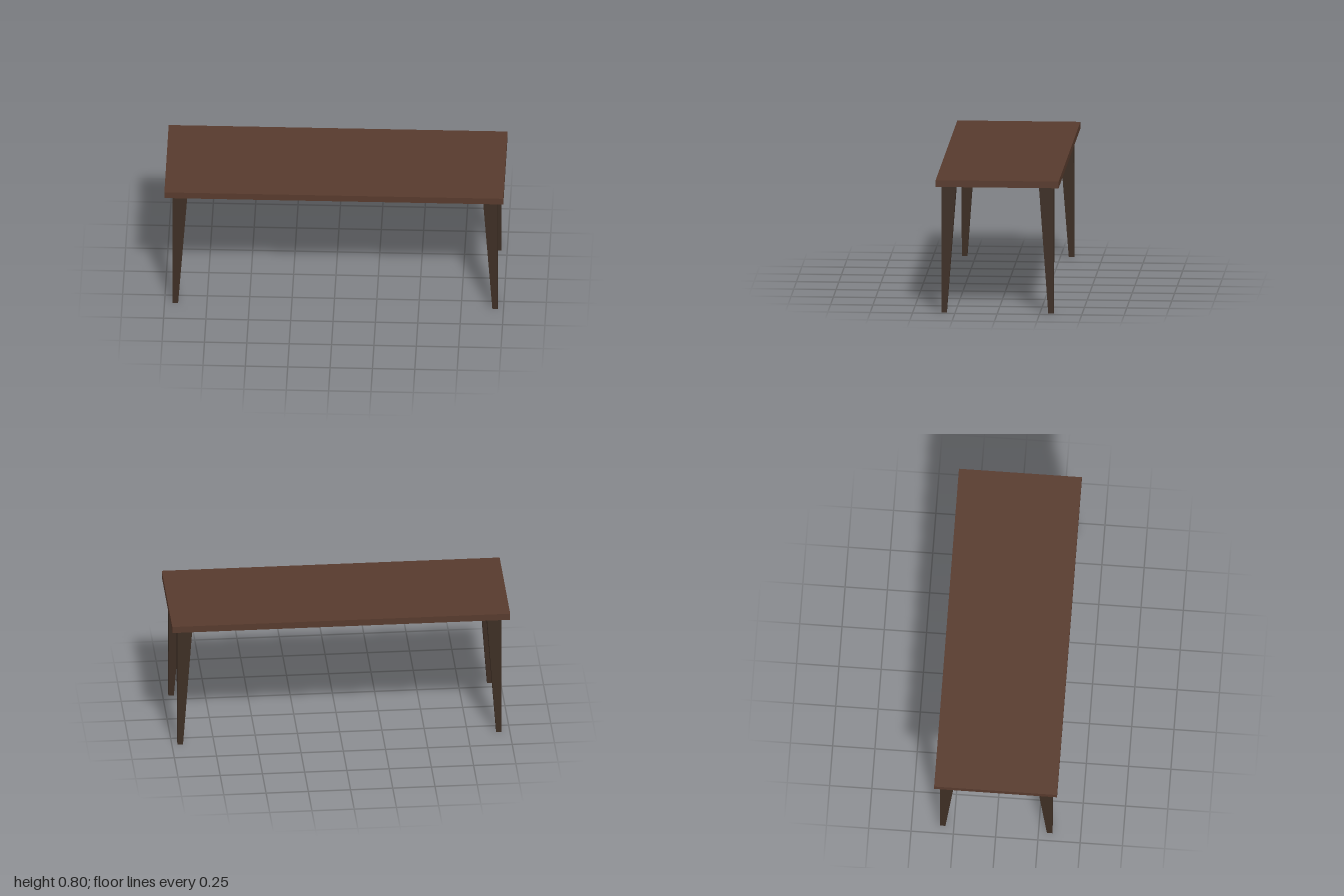
import * as THREE from 'three';

const TOP_Y = 0.797, UNDER_Y = 0.757;

// Square leg with vertical outer faces and tapered inner faces
function legGeometry(sx, sz) {
  const geo = new THREE.BoxGeometry(1, UNDER_Y, 1);
  const p = geo.attributes.position;
  for (let i = 0; i < p.count; i++) {
    const y = p.getY(i);
    const width = y > 0 ? 0.087 : 0.032;
    p.setXYZ(i, (p.getX(i) - sx / 2) * width, y + UNDER_Y / 2, (p.getZ(i) - sz / 2) * width);
  }
  geo.computeVertexNormals();
  return geo;
}

export function createModel() {
  const topWood = new THREE.MeshStandardMaterial({ color: 0x573a2d });
  topWood.name = 'brown wood';
  const legWood = new THREE.MeshStandardMaterial({ color: 0x3d2e24 });
  legWood.name = 'dark wood';

  const table = new THREE.Group();
  table.name = 'table';

  // Tabletop slab
  const top = new THREE.Mesh(new THREE.BoxGeometry(2, TOP_Y - UNDER_Y, 0.727), topWood);
  top.name = 'tabletop';
  top.position.y = (TOP_Y + UNDER_Y) / 2;
  table.add(top);

  // Four corner legs, set slightly towards +x
  for (const sx of [-1, 1]) {
    for (const sz of [-1, 1]) {
      const leg = new THREE.Mesh(legGeometry(sx, sz), legWood);
      leg.name = `${sz > 0 ? 'front' : 'back'}${sx > 0 ? 'Left' : 'Right'}Leg`;
      leg.position.set(sx * 0.959 + 0.007, 0, sz * 0.332);
      table.add(leg);
    }
  }
  return table;
}
